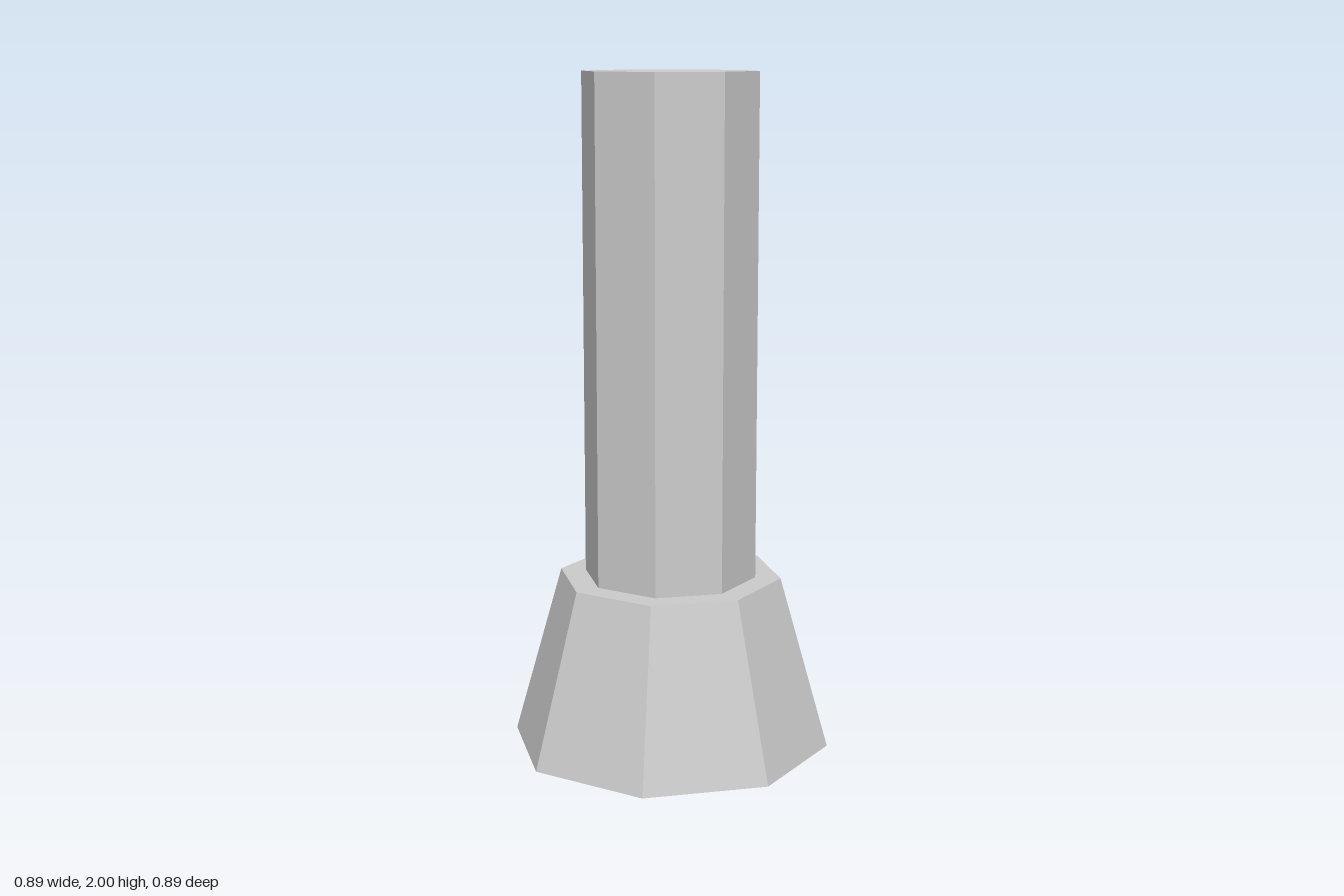
import * as THREE from 'three';

const SIDES = 8;

// Octagonal prism or frustum, sized across its flats, with a flat side facing +z
function octagon(name, topFlat, bottomFlat, y0, y1, material) {
  const toCorner = 1 / Math.cos(Math.PI / SIDES);
  const geometry = new THREE.CylinderGeometry(topFlat * toCorner, bottomFlat * toCorner, y1 - y0, SIDES);
  geometry.rotateY(Math.PI / SIDES);
  geometry.translate(0, (y0 + y1) / 2, 0);
  const mesh = new THREE.Mesh(geometry, material);
  mesh.name = name;
  return mesh;
}

export function createModel() {
  const grey = new THREE.MeshStandardMaterial({ color: 0xcccccc, flatShading: true });
  grey.name = 'light grey';

  const model = new THREE.Group();
  model.name = 'octagonalPost';
  // Flared foot and straight shaft
  model.add(octagon('base', 0.308, 0.443, 0, 0.517, grey));
  model.add(octagon('shaft', 0.238, 0.238, 0.517, 2, grey));
  return model;
}
